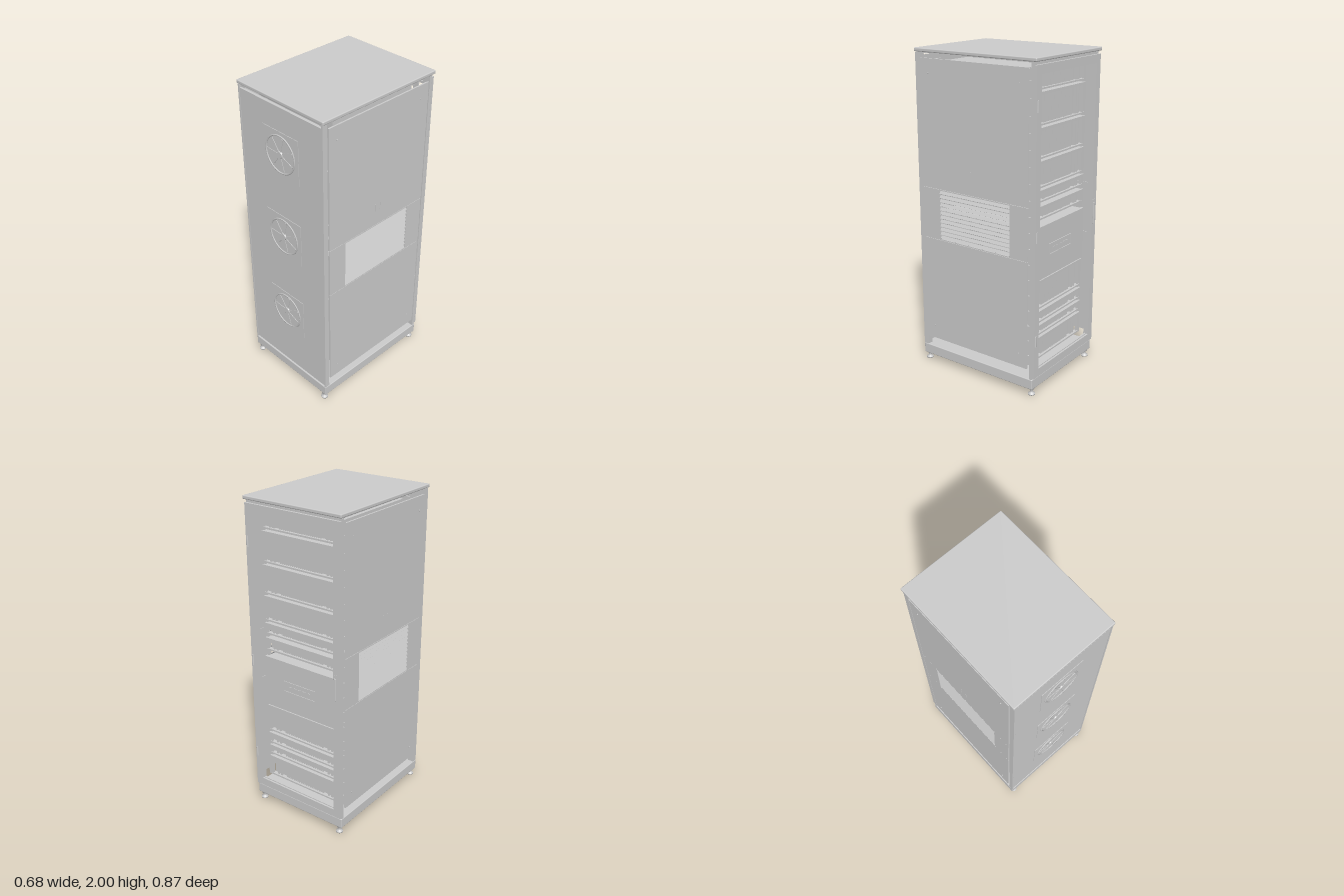
import * as THREE from 'three';
import { RoundedBoxGeometry } from 'three/addons/geometries/RoundedBoxGeometry.js';

const grey = new THREE.MeshStandardMaterial({ color: 0xcccccc, side: THREE.DoubleSide });

function add(parent, name, geometry) {
  const mesh = new THREE.Mesh(geometry, grey);
  mesh.name = name;
  parent.add(mesh);
  return mesh;
}

// Box given by its lower and upper limits on each axis
function box(parent, name, x0, x1, y0, y1, z0, z1) {
  const mesh = add(parent, name, new THREE.BoxGeometry(x1 - x0, y1 - y0, z1 - z0));
  mesh.position.set((x0 + x1) / 2, (y0 + y1) / 2, (z0 + z1) / 2);
  return mesh;
}

function group(parent, name) {
  const g = new THREE.Group();
  g.name = name;
  parent.add(g);
  return g;
}

// Rectangular sheet in XY with a rectangular hole
function framePlate(w, h, holeW, holeH, depth) {
  const rect = (path, a, b) => path.moveTo(-a, -b).lineTo(a, -b).lineTo(a, b).lineTo(-a, b).closePath();
  const shape = rect(new THREE.Shape(), w / 2, h / 2);
  shape.holes.push(rect(new THREE.Path(), holeW / 2, holeH / 2));
  return new THREE.ExtrudeGeometry(shape, { depth, bevelEnabled: false });
}

function buildBase(root) {
  const base = group(root, 'base');
  add(base, 'plinth', new RoundedBoxGeometry(0.67, 0.065, 0.845, 2, 0.005)).position.set(0, 0.0775, 0.006);
  const foot = [[0, 0], [0.022, 0], [0.022, 0.007], [0.011, 0.014], [0.009, 0.02], [0.009, 0.034], [0.016, 0.036], [0.016, 0.046]]
    .map(p => new THREE.Vector2(...p));
  for (const x of [-0.305, 0.305]) for (const z of [-0.395, 0.41])
    add(base, 'foot', new THREE.LatheGeometry(foot, 20)).position.set(x, 0, z);
}

function buildFrame(root) {
  const frame = group(root, 'frame');
  add(frame, 'lid', new RoundedBoxGeometry(0.684, 0.022, 0.864, 2, 0.006)).position.set(0, 1.989, 0);
  box(frame, 'lidUnderside', -0.33, 0.33, 1.972, 1.98, -0.42, 0.42);
  for (const s of [-1, 1]) {
    const span = (name, a, b, ...rest) => box(frame, name, Math.min(s * a, s * b), Math.max(s * a, s * b), ...rest);
    span('frontPost', 0.295, 0.333, 0.11, 1.975, 0.395, 0.412);
    span('frontCornerStrip', 0.324, 0.334, 0.11, 1.975, 0.41, 0.428);
    span('backPost', 0.285, 0.333, 0.11, 1.975, -0.412, -0.394);
    // Ladder of tabs closing the gap between side panel and back post
    for (let y = 0.2; y < 1.9; y += 0.095) span('slotTab', 0.318, 0.328, y, y + 0.06, -0.396, -0.376);
    // Inner mounting rails
    for (const z of [-0.362, 0.3]) span('mountingRail', 0.25, 0.285, 0.175, 1.94, z, z + 0.012);
  }
  box(frame, 'backTopBeam', -0.29, 0.29, 1.93, 1.972, -0.41, -0.395);
  box(frame, 'backBottomBeam', -0.29, 0.29, 0.11, 0.14, -0.41, -0.395);
}

function buildFrontPanel(root) {
  const front = group(root, 'frontPanel');
  box(front, 'frontSheet', -0.322, 0.322, 0.122, 1.955, 0.408, 0.426);
  const blade = new THREE.Shape();
  blade.moveTo(0.02, -0.003).lineTo(0.106, -0.007).lineTo(0.106, 0.007).lineTo(0.02, 0.003).closePath();
  for (const y of [1.67, 1.12, 0.55]) {
    const fan = group(front, 'fan');
    fan.position.set(0, y, 0.426);
    box(fan, 'fanPlate', -0.145, 0.145, -0.14, 0.14, 0, 0.003);
    add(fan, 'fanRing', new THREE.TorusGeometry(0.115, 0.005, 6, 40)).position.z = 0.004;
    const hub = add(fan, 'fanHub', new THREE.CylinderGeometry(0.018, 0.022, 0.008, 20));
    hub.rotation.x = Math.PI / 2;
    hub.position.z = 0.006;
    for (let i = 0; i < 7; i++)
      add(fan, 'fanBlade', new THREE.ExtrudeGeometry(blade, { depth: 0.006, bevelEnabled: false }))
        .rotation.z = Math.PI + i * Math.PI * 2 / 7;
  }
}

// Built on the +x side; the opposite side is the same part turned half round and re-centred
function buildSide(root, s) {
  const side = group(root, s > 0 ? 'leftSide' : 'rightSide');
  const slab = (name, a, b, ...rest) => box(side, name, Math.min(s * a, s * b), Math.max(s * a, s * b), ...rest);
  slab('upperPanel', 0.328, 0.338, 1.172, 1.945, -0.379, 0.388);
  slab('lowerPanel', 0.328, 0.338, 0.175, 0.848, -0.379, 0.388);
  const middle = add(side, 'louverFrame', framePlate(0.767, 0.32, 0.52, 0.308, 0.01));
  middle.rotation.y = Math.PI / 2;
  middle.position.set(s > 0 ? 0.328 : -0.338, 1.01, 0.0045);
  // Sloping louver blades
  for (let i = 0; i < 12; i++) {
    const blade = add(side, 'louverBlade', new THREE.BoxGeometry(0.003, 0.02, 0.52));
    blade.position.set(s * 0.332, 0.868 + i * 0.0258, 0.0045);
    blade.rotation.z = s * 0.5;
  }
  // Latch and corner screws
  slab('latchBar', 0.337, 0.341, 1.27, 1.315, 0.022, 0.027);
  slab('latchBar', 0.337, 0.341, 1.27, 1.315, -0.018, -0.013);
  for (const y of [0.26, 1.86]) for (const z of [-0.32, 0.33]) {
    const screw = add(side, 'screw', new THREE.CylinderGeometry(0.005, 0.005, 0.005, 10));
    screw.rotation.z = Math.PI / 2;
    screw.position.set(s * 0.339, y, z);
  }
}

function buildEquipment(root) {
  const rack = group(root, 'equipment');
  // Lower and upper height of every slatted unit
  const units = [[0.18, 0.325], [0.335, 0.405], [0.415, 0.495], [0.505, 0.69],
    [1.06, 1.145], [1.165, 1.24], [1.25, 1.41], [1.42, 1.6], [1.61, 1.8], [1.81, 1.925]];
  for (const [y0, y1] of units) {
    const unit = group(rack, 'rackUnit');
    box(unit, 'unitBody', -0.25, 0.25, y0, y1, -0.34, 0.29);
    box(unit, 'unitLip', -0.262, 0.262, y1 - 0.018, y1, -0.376, -0.34);
    box(unit, 'unitLip', -0.262, 0.262, y0, y0 + 0.01, -0.366, -0.34);
    for (let i = -10; i <= 10; i++)
      box(unit, 'slat', i * 0.0145 - 0.003, i * 0.0145 + 0.003, y0 + 0.01, y1 - 0.018, -0.353, -0.34);
    for (const x of [-0.215, -0.19, 0.19, 0.215])
      box(unit, 'slat', x - 0.006, x + 0.006, y0 + 0.01, y1 - 0.018, -0.355, -0.34);
  }
  // Blank control drawer with a row of buttons
  const drawer = group(rack, 'controlDrawer');
  box(drawer, 'drawerBody', -0.25, 0.25, 0.7, 1.025, -0.36, 0.29);
  box(drawer, 'drawerFace', -0.265, 0.265, 0.7, 1.025, -0.382, -0.36);
  const rim = add(drawer, 'buttonRim', framePlate(0.24, 0.07, 0.23, 0.06, 0.004));
  rim.position.set(0, 0.865, -0.386);
  for (let i = -2; i <= 2; i++)
    box(drawer, 'button', i * 0.035 - 0.01, i * 0.035 + 0.01, 0.86, 0.872, -0.386, -0.382);
}

function buildBackDoor(root) {
  const door = group(root, 'backDoor');
  add(door, 'doorFrame', framePlate(0.664, 1.84, 0.57, 1.74, 0.014)).position.set(0, 1.04, -0.428);
  add(door, 'doorInnerFrame', framePlate(0.59, 1.76, 0.56, 1.73, 0.012)).position.set(0, 1.04, -0.416);
  for (const y of [0.36, 1.0, 1.74]) {
    add(door, 'hinge', new THREE.CylinderGeometry(0.006, 0.006, 0.065, 12)).position.set(0.32, y, -0.428);
  }
  // Swing handle with its mount
  box(door, 'handleMount', -0.313, -0.287, 0.91, 1.08, -0.431, -0.426);
  add(door, 'handleGrip', new RoundedBoxGeometry(0.012, 0.14, 0.008, 2, 0.003)).position.set(-0.3, 0.99, -0.433);
}

export function createModel() {
  const root = new THREE.Group();
  root.name = 'equipmentCabinet';
  buildBase(root);
  buildFrame(root);
  buildFrontPanel(root);
  for (const s of [-1, 1]) buildSide(root, s);
  buildEquipment(root);
  buildBackDoor(root);
  return root;
}
